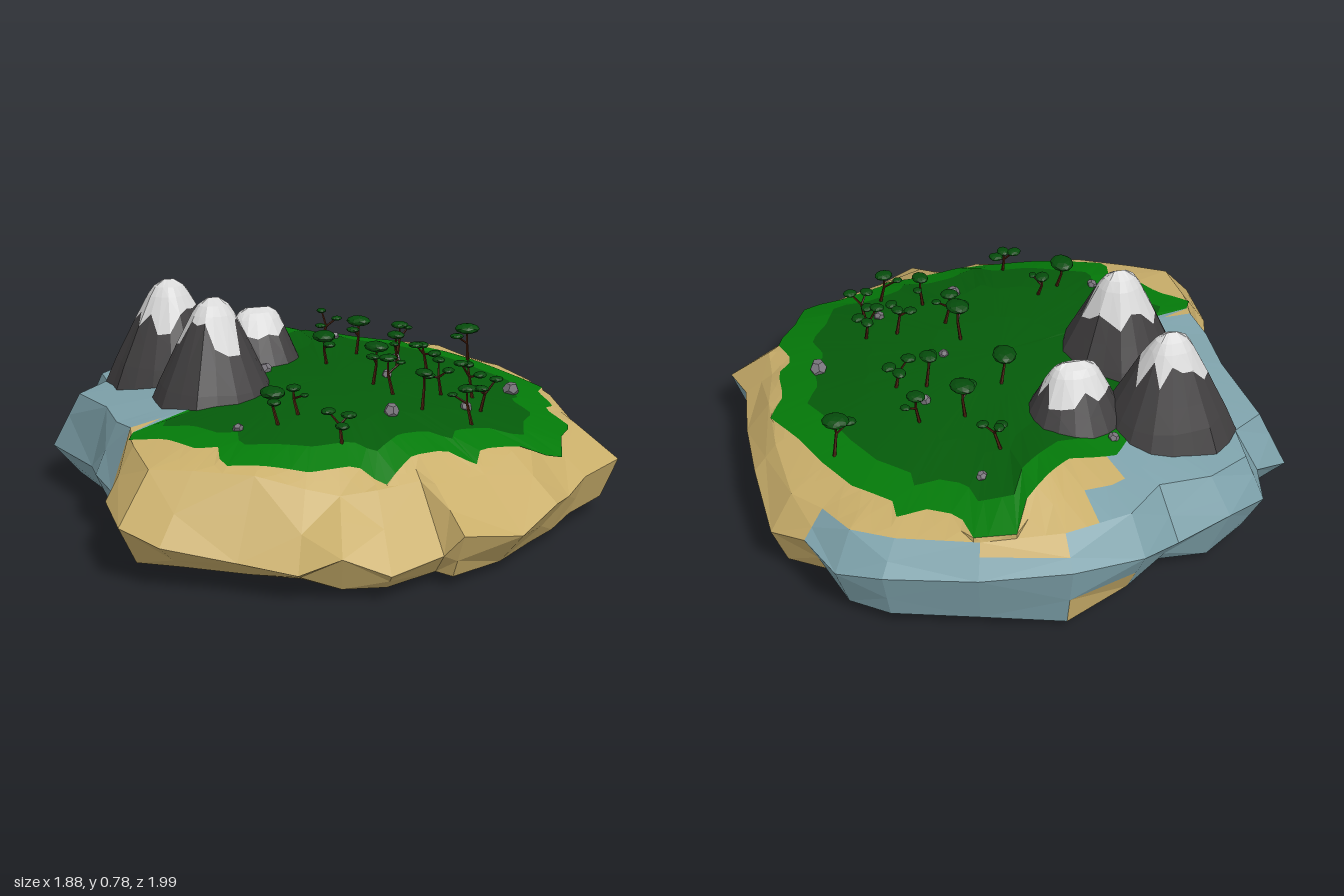
import * as THREE from 'three';

const colours = {
  sand: 0xc9ae6a, stone: 0x7ea2ab, grass: 0x047a09, meadow: 0x055b0a, cliff: 0x403e3f,
  snow: 0xd6d6d6, leaf: 0x054b0b, bark: 0x49200d, boulder: 0x77737a,
};

// Island outline at its widest: x, y, z
const RIM = [
  [0.94, 0.2, 0.42], [0.75, 0.2, 0.56], [0.65, 0.17, 0.65], [0.55, 0.2, 0.78], [0.38, 0.15, 0.9],
  [0.15, 0.2, 0.97], [0.1, 0.12, 0.92], [-0.1, 0.1, 0.99], [-0.25, 0.16, 0.95], [-0.38, 0.1, 0.9],
  [-0.55, 0.12, 0.79], [-0.78, 0.16, 0.69], [-0.89, 0.2, 0.58], [-0.89, 0.21, 0.35], [-0.84, 0.18, 0.18],
  [-0.87, 0.2, 0.05], [-0.85, 0.16, -0.15], [-0.94, 0.15, -0.46], [-0.8, 0.22, -0.55], [-0.78, 0.2, -0.68],
  [-0.62, 0.25, -0.79], [-0.43, 0.2, -0.83], [-0.28, 0.26, -0.94], [-0.02, 0.3, -1.0], [0.28, 0.27, -0.94],
  [0.58, 0.26, -0.85], [0.72, 0.22, -0.75], [0.8, 0.25, -0.6], [0.9, 0.2, -0.48], [0.92, 0.24, -0.2],
  [0.92, 0.22, 0.05], [0.9, 0.24, 0.25],
];

// Jagged border of the grass: x, z
const GRASS_EDGE = [
  [0.84, -0.04], [0.78, 0.05], [0.78, 0.2], [0.72, 0.25], [0.76, 0.4], [0.68, 0.5], [0.62, 0.65],
  [0.48, 0.6], [0.33, 0.63], [0.29, 0.7], [0.2, 0.64], [0.08, 0.66], [-0.05, 0.76], [-0.12, 0.68],
  [-0.28, 0.68], [-0.42, 0.62], [-0.55, 0.58], [-0.53, 0.47], [-0.6, 0.45], [-0.68, 0.32], [-0.79, 0.26],
  [-0.76, 0.2], [-0.6, 0.2], [-0.5, 0.05], [-0.45, -0.2], [-0.5, -0.4], [-0.35, -0.5], [-0.27, -0.6],
  [-0.1, -0.62], [0, -0.7], [0.1, -0.78], [0.12, -0.88], [0.28, -0.85], [0.3, -0.75], [0.4, -0.69],
  [0.5, -0.69], [0.5, -0.62], [0.62, -0.5], [0.7, -0.35], [0.76, -0.2],
];

let seed = 7;
const rand = () => (seed = (seed * 16807) % 2147483647) / 2147483647;
const jitter = (a) => (rand() * 2 - 1) * a;
const TURN = Math.PI * 2;
const angleOf = (x, z) => (Math.atan2(z, x) + TURN) % TURN;

// Height of the domed top, falling off faster at the front
function height(x, z) {
  const front = Math.max(z, 0), left = Math.max(x, 0);
  return 0.467 - (x > 0 ? 0.18 : 0.12) * x * x - 0.1 * z * z - 0.5 * front ** 6 - 0.05 * left * front
    + 0.05 * Math.exp(-(x * x + (z + 0.68) ** 2) / 0.03);
}

// Samples a closed outline along the given directions from the centre
function sampleOutline(points, angles) {
  return angles.map((a) => {
    const c = Math.cos(a), s = Math.sin(a);
    let best = new THREE.Vector3(), far = 0;
    points.forEach((p, j) => {
      const q = points[(j + 1) % points.length];
      const cp = c * p.z - s * p.x, cq = c * q.z - s * q.x;
      if ((cp <= 0) === (cq <= 0)) return;
      const hit = p.clone().lerp(q, cp / (cp - cq));
      const d = hit.x * c + hit.z * s;
      if (d > far) { far = d; best = hit; }
    });
    return best;
  });
}

// Skins closed rings from bottom to top, making one mesh per colour;
// pick(ring, degrees) chooses the colour
function loft(parent, rings, names, pick, mats) {
  const parts = {};
  for (let k = 0; k < rings.length - 1; k++) {
    const lo = rings[k], up = rings[k + 1], n = lo.length;
    for (let i = 0; i < n; i++) {
      const j = (i + 1) % n;
      const degrees = THREE.MathUtils.radToDeg(angleOf(lo[i].x + lo[j].x, lo[i].z + lo[j].z));
      const out = (parts[pick(k, degrees)] ??= []);
      const tris = (i + k) % 2
        ? [[lo[i], up[i], up[j]], [lo[i], up[j], lo[j]]]
        : [[lo[i], up[i], lo[j]], [lo[j], up[i], up[j]]];
      for (const tri of tris) {
        if (tri[0].equals(tri[1]) || tri[1].equals(tri[2]) || tri[0].equals(tri[2])) continue;
        tri.forEach((p) => out.push(p.x, p.y, p.z));
      }
    }
  }
  for (const key in parts) {
    const geo = new THREE.BufferGeometry();
    geo.setAttribute('position', new THREE.Float32BufferAttribute(parts[key], 3));
    geo.computeVertexNormals();
    const mesh = new THREE.Mesh(geo, mats[key]);
    mesh.name = names[key];
    parent.add(mesh);
  }
}

function buildIsland(mats) {
  const island = new THREE.Group();
  island.name = 'island';
  const within = (deg, spans) => spans?.some(([from, to]) => deg >= from && deg < to);

  // Faceted underside and flanks
  const rim = RIM.map((p) => new THREE.Vector3(...p));
  const shoulder = rim.map((p) => {
    const f = p.z / Math.hypot(p.x, p.z);
    const s = (f > 0 ? 0.92 - 0.13 * f : 0.92 + 0.02 * f) + jitter(0.02), x = p.x * s, z = p.z * s;
    return new THREE.Vector3(x, Math.max(0.31, height(x, z) - 0.005) + jitter(0.01), z);
  });
  const slope = rim.map((p, i) => p.clone().lerp(shoulder[i], 0.5 + jitter(0.12)));
  const lower = (s, y, wobble) => rim.map((p) => {
    const r = s + jitter(0.03);
    return new THREE.Vector3(p.x * r, y + jitter(wobble), p.z * r);
  });
  const base = lower(0.92, 0.045, 0.015);
  const belly = base.map((p, i) => p.clone().lerp(rim[i], 0.45 + jitter(0.15)));
  const point = (n, y) => Array.from({ length: n }, () => new THREE.Vector3(0, y, 0));
  const flankStone = {
    3: [[0, 22], [168, 214], [221, 253], [269, 323], [332, 360]],
    4: [[0, 22], [168, 323], [332, 360]],
    5: [[168, 323]],
    6: [[168, 269], [287, 323]],
  };
  loft(island, [point(rim.length, 0), lower(0.4, 0.01, 0.005), lower(0.7, 0.025, 0.008), base, belly, rim, slope, shoulder],
    { sand: 'sandyFlank', stone: 'stoneFlank' }, (k, deg) => (within(deg, flankStone[k]) ? 'stone' : 'sand'), mats);

  // Shore and grass on top
  const angles = Array.from({ length: 120 }, (_, i) => (i / 120) * TURN)
    .concat(rim.map((p) => angleOf(p.x, p.z))).sort((a, b) => a - b);
  const brink = sampleOutline(shoulder, angles);
  const edge = sampleOutline(GRASS_EDGE.map(([x, z]) => new THREE.Vector3(x, 0, z)), angles);
  const ringOf = (s) => edge.map((p) => new THREE.Vector3(p.x * s, height(p.x * s, p.z * s), p.z * s));
  const border = ringOf(1);
  const shore = brink.map((p, i) => p.clone().lerp(border[i], 0.5));
  const shoreStone = [[[167, 261]], [[166, 250]]];
  const pickTop = (k, deg) => {
    if (k > 2) return 'meadow';
    if (k === 2) return 'grass';
    return within(deg, shoreStone[k]) ? 'stone' : 'sand';
  };
  loft(island, [brink, shore, border, ringOf(0.84), ringOf(0.6), ringOf(0.3), point(angles.length, height(0, 0))],
    { sand: 'beach', stone: 'stoneShore', grass: 'grassBorder', meadow: 'meadow' }, pickTop, mats);
  return island;
}

// Peak with a short crest along x and a ragged snow cap
function buildMountain(x, z, radius, top, crest, mats) {
  const mountain = new THREE.Group();
  mountain.name = 'mountain';
  const n = 18, foot = 0.37;
  const profile = [[0, 1.07], [0.25, 0.86], [0.5, 0.62], [0.75, 0.39], [0.93, 0.19], [1, 0]];
  const widthAt = (t) => {
    const i = Math.max(1, profile.findIndex((p) => p[0] >= t));
    const [a, b] = [profile[i - 1], profile[i]];
    return a[1] + (b[1] - a[1]) * (t - a[0]) / (b[0] - a[0]);
  };
  const ridge = Array.from({ length: n }, () => 1 + jitter(0.06));
  const snowLine = ridge.map(() => 0.68 + jitter(0.15));
  const ring = (level) => ridge.map((w, i) => {
    const t = level === 'snow' ? snowLine[i] : level;
    const a = (i / n) * TURN, r = radius * widthAt(t) * w;
    return new THREE.Vector3(x + Math.cos(a) * (r + crest * t), foot + (top - foot) * t, z + Math.sin(a) * r);
  });
  loft(mountain, [0, 0.25, 0.45, 'snow', 0.86, 0.94, 1].map(ring), { cliff: 'mountainRock', snow: 'snowCap' },
    (k) => (k < 3 ? 'cliff' : 'snow'), mats);
  return mountain;
}

// Tapered stick between two points
function limb(from, to, r, mat) {
  const d = to.clone().sub(from);
  const mesh = new THREE.Mesh(new THREE.CylinderGeometry(r * 0.7, r, d.length(), 5), mat);
  mesh.position.copy(from).addScaledVector(d, 0.5);
  mesh.quaternion.setFromUnitVectors(new THREE.Vector3(0, 1, 0), d.normalize());
  return mesh;
}

// Tree with leaning trunk and flat crowns; a two-crown tree has a small lower one
function buildTree(x, z, size, tall, crowns, mats, leafGeo) {
  const tree = new THREE.Group();
  tree.name = 'tree';
  const ground = height(x, z);
  const foot = new THREE.Vector3(x + jitter(0.025), ground - 0.02, z + jitter(0.025));
  const fork = new THREE.Vector3(x, ground + tall * 0.5, z);
  tree.add(limb(foot, fork, 0.007, mats.bark));
  const turn = rand() * 6;
  for (let i = 0; i < crowns; i++) {
    const a = turn + (i * TURN) / crowns;
    const reach = crowns > 2 ? 0.04 : i * 0.05;
    const s = crowns > 2 ? size : size * (1 - 0.45 * i);
    const tip = new THREE.Vector3(x + Math.cos(a) * reach, ground + tall * (1 - 0.16 * i) - 0.012, z + Math.sin(a) * reach);
    const crown = new THREE.Mesh(leafGeo, mats.leaf);
    crown.scale.set(s, s * 0.4, s * 0.85);
    crown.position.copy(tip);
    crown.rotation.y = a;
    crown.name = 'crown';
    tree.add(limb(fork, tip, 0.0045, mats.bark), crown);
  }
  tree.children.forEach((m) => { m.name ||= 'trunk'; });
  return tree;
}

export function createModel() {
  const mats = {};
  for (const key in colours) {
    mats[key] = new THREE.MeshStandardMaterial({ color: colours[key] });
    mats[key].name = key;
    mats[key].flatShading = true;
  }
  const model = new THREE.Group();
  model.name = 'islandLandscape';
  model.add(buildIsland(mats));
  // Mountains: x, z, radius, top, crest
  for (const m of [[-0.5, -0.41, 0.22, 0.765, 0.02], [-0.42, -0.04, 0.215, 0.78, 0.02], [-0.18, -0.35, 0.185, 0.65, 0.045]]) {
    model.add(buildMountain(...m, mats));
  }

  // Trees: x, z, crown size, height, crowns
  const leafGeo = new THREE.IcosahedronGeometry(1, 1);
  for (const t of [
    [0.02, -0.16, 0.05, 0.12, 2], [0.2, -0.31, 0.047, 0.14, 2], [0.64, -0.32, 0.048, 0.14, 2],
    [0.36, -0.3, 0.034, 0.13, 2], [0.13, -0.5, 0.022, 0.13, 3], [0.28, -0.11, 0.035, 0.13, 2],
    [0.38, -0.08, 0.028, 0.11, 3], [0.13, 0.12, 0.046, 0.15, 2], [0.14, 0.22, 0.033, 0.14, 2],
    [-0.32, 0.38, 0.05, 0.12, 2], [-0.23, 0.32, 0.03, 0.1, 2], [0.22, 0.37, 0.034, 0.14, 2],
    [0.32, 0.24, 0.025, 0.13, 3], [0.44, 0.23, 0.027, 0.14, 3], [0.34, 0.47, 0.034, 0.13, 2],
    [0.44, 0.38, 0.026, 0.13, 3], [-0.14, 0.56, 0.028, 0.11, 3],
  ]) model.add(buildTree(...t, mats, leafGeo));

  // Scattered boulders: x, z, size
  const stoneGeo = new THREE.DodecahedronGeometry(1, 0);
  for (const [x, z, s] of [
    [0.2, -0.62, 0.02], [-0.28, -0.52, 0.02], [0.31, -0.2, 0.022], [0.2, 0.03, 0.02], [0.64, 0.13, 0.035],
    [0.09, 0.41, 0.03], [0.38, 0.36, 0.022], [-0.44, 0.38, 0.02], [-0.2, -0.16, 0.025],
  ]) {
    const boulder = new THREE.Mesh(stoneGeo, mats.boulder);
    boulder.name = 'boulder';
    boulder.scale.set(s, s * 0.8, s * 0.9);
    boulder.position.set(x, height(x, z) + s * 0.3, z);
    boulder.rotation.set(rand() * 3, rand() * 3, 0);
    model.add(boulder);
  }
  return model;
}
